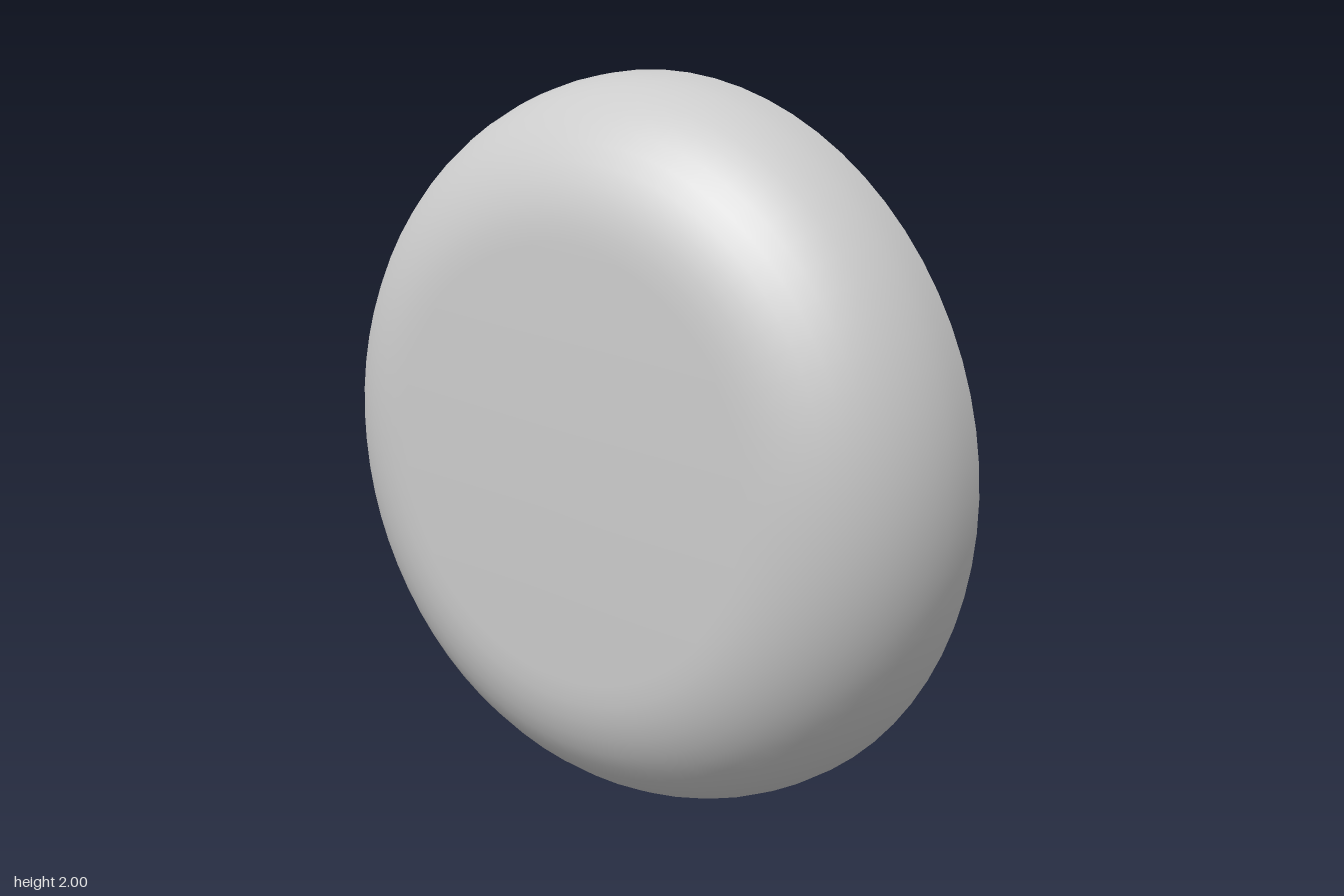
import * as THREE from 'three';
import { toCreasedNormals } from 'three/addons/utils/BufferGeometryUtils.js';

export function createModel() {
  const group = new THREE.Group();
  const material = new THREE.MeshStandardMaterial({ color: 0xcccccc });

  const add = (name, geometry) => {
    const mesh = new THREE.Mesh(geometry, material);
    mesh.name = name;
    mesh.position.y = 1;
    group.add(mesh);
  };

  // Round face: flat back, quarter-round rim, flat front
  const back = 0.115, fillet = 0.415, steps = 12;
  const profile = [new THREE.Vector2(0, back)];
  for (let i = 0; i <= steps; i++) {
    const a = (i / steps) * Math.PI / 2;
    profile.push(new THREE.Vector2(1 - fillet + fillet * Math.cos(a), back + fillet * Math.sin(a)));
  }
  profile.push(new THREE.Vector2(0, back + fillet));
  const disc = new THREE.LatheGeometry(profile, 72).rotateX(Math.PI / 2);
  add('buttonDisc', toCreasedNormals(disc, 0.6));

  // Short boss behind the disc, sunk slightly into it
  const bossBack = -0.07, bossFront = back + 0.02;
  const boss = new THREE.CylinderGeometry(0.25, 0.25, bossFront - bossBack, 40)
    .rotateX(Math.PI / 2)
    .translate(0, 0, (bossBack + bossFront) / 2);
  add('shankBoss', boss);

  // Upright sewing loop, its front part buried in the boss and disc
  const loop = new THREE.TorusGeometry(0.281, 0.102, 20, 48)
    .rotateY(Math.PI / 2)
    .translate(0, 0, -0.147);
  add('shankLoop', loop);

  return group;
}
